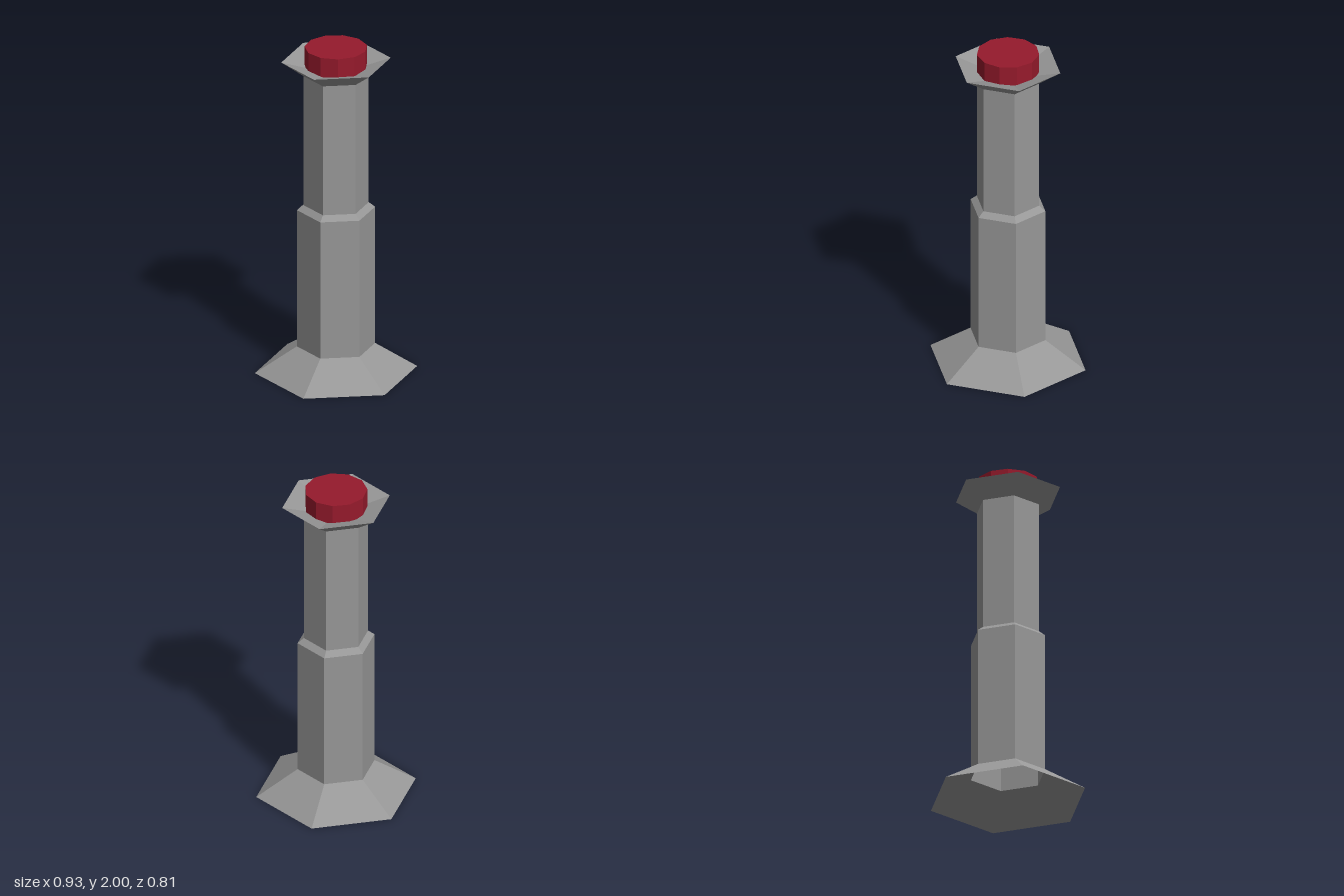
import * as THREE from 'three';

export function createModel() {
  const model = new THREE.Group();

  // Six-sided post, open below: flared foot, lower shaft, step, upper shaft, collar with a shallow dish
  const profile = [
    [0.467, 0], [0.225, 0.155], [0.225, 1.0],
    [0.188, 1.03], [0.188, 1.83], [0.315, 1.92], [0, 1.83],
  ].map(([r, y]) => new THREE.Vector2(r, y));
  const post = new THREE.Mesh(
    new THREE.LatheGeometry(profile, 6, Math.PI / 2),
    new THREE.MeshStandardMaterial({ color: 0x979797, flatShading: true, side: THREE.DoubleSide })
  );
  post.name = 'post';
  model.add(post);

  // Eleven-sided red button resting in the collar
  const bottom = 1.85, top = 2;
  const button = new THREE.Mesh(
    new THREE.CylinderGeometry(0.18, 0.18, top - bottom, 11, 1, false, Math.PI / 2),
    new THREE.MeshStandardMaterial({ color: 0x961a2c, flatShading: true })
  );
  button.name = 'button';
  button.position.y = (top + bottom) / 2;
  model.add(button);

  return model;
}
